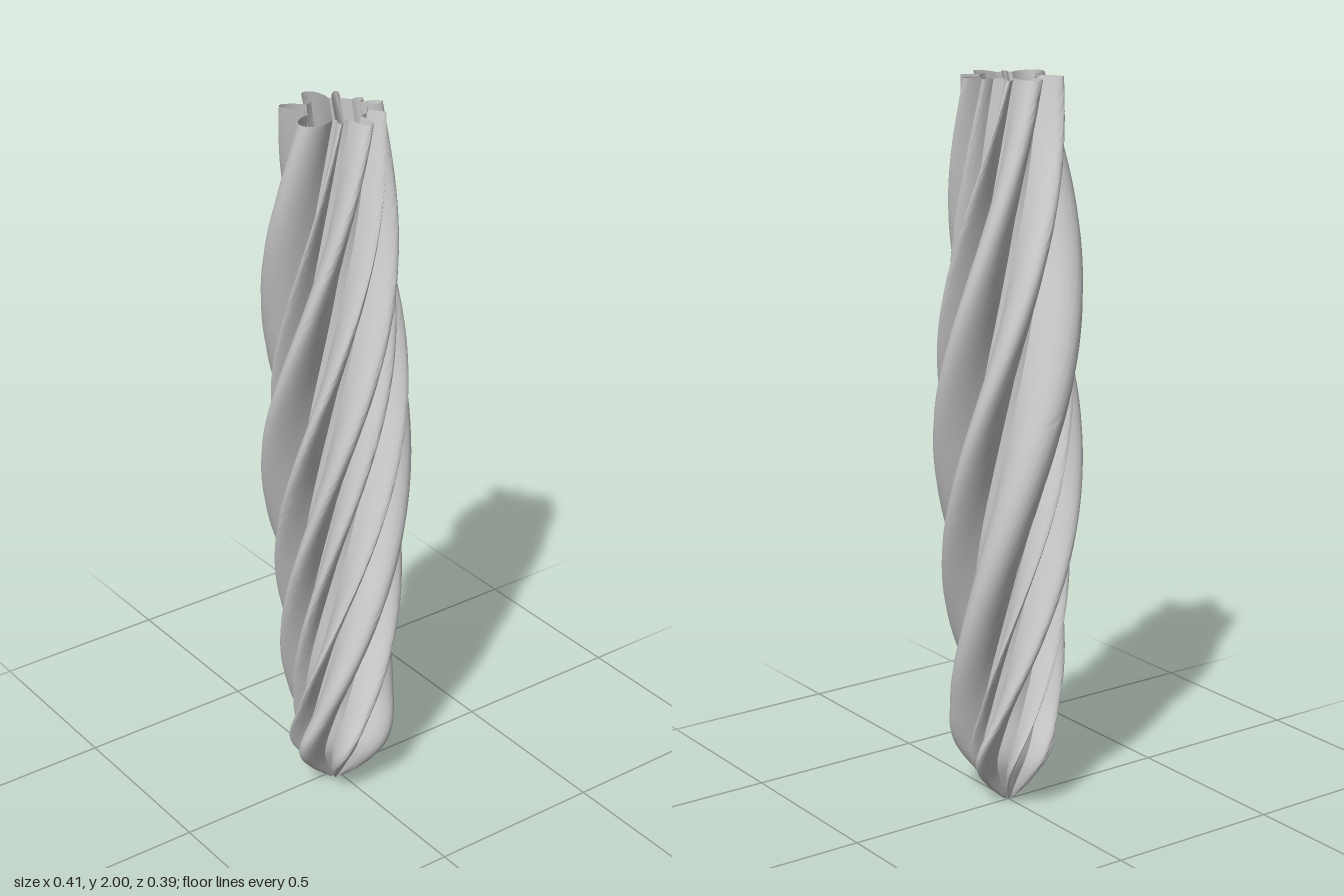
import * as THREE from 'three';
import { toCreasedNormals } from 'three/addons/utils/BufferGeometryUtils.js';

// Stations from tip to open top: height, ridge radius, groove radius, twist
const stations = [
  [0, 0.02, 0.01, -4.6],
  [0.06, 0.088, 0.045, -4.55],
  [0.14, 0.149, 0.082, -4.4],
  [0.3, 0.165, 0.088, -3.9],
  [0.5, 0.176, 0.093, -3.32],
  [0.85, 0.194, 0.1, -2.45],
  [1.2, 0.206, 0.102, -1.68],
  [1.6, 0.188, 0.092, -0.84],
  [2, 0.147, 0.079, 0],
];
// Ridges at the top: start and end angle from the front in degrees, relative reach
const ridges = [
  [-12, 14, 1], [36, 48, 0.7], [70, 92, 0.75], [97, 115, 0.4], [137, 152, 0.75],
  [157, 195, 1], [211, 238, 0.95], [265, 318, 1], [325, 337, 0.45],
];

const ROWS = 110, STEPS = 12, GROOVE_STEPS = 3;

function createModel() {
  const { smoothstep, lerp, degToRad } = THREE.MathUtils;
  const profile = new THREE.CubicInterpolant(
    stations.map(s => s[0]), stations.flatMap(s => s.slice(1)), 3, new Float32Array(3));
  const n = ridges.length, ring = n * (STEPS + GROOVE_STEPS);
  const positions = [], index = [];

  for (let i = 0; i <= ROWS; i++) {
    const y = 2 * Math.pow(i / ROWS, 1.2);
    const [outer, inner, twist] = profile.evaluate(y);
    // ridges even out and widen towards the middle, where the axis is centred
    const middle = smoothstep(y, 0.15, 1) * (1 - smoothstep(y, 1.3, 2));
    const axisX = -0.01 * (1 - middle), axisZ = 0.013 * (1 - middle);
    const addPoint = (degrees, r) => {
      const a = degToRad(degrees) + twist;
      positions.push(axisX + r * Math.sin(a), y, axisZ + r * Math.cos(a));
    };
    ridges.forEach(([start, end, reach], k) => {
      const before = k ? ridges[k - 1][1] : ridges[n - 1][1] - 360;
      const after = k < n - 1 ? ridges[k + 1][0] : ridges[0][0] + 360;
      const widen = 0.3 * middle;
      const a0 = lerp(start, before, widen), a1 = lerp(end, after, widen);
      const next = lerp(after, end, widen);
      const height = (outer - inner) * lerp(reach, 0.4 + 0.6 * reach, middle);
      for (let j = 0; j < STEPS; j++) {
        const t = j / STEPS;
        addPoint(lerp(a0, a1, t), inner + height * Math.pow(Math.sin(Math.PI * t), 0.8));
      }
      for (let j = 0; j < GROOVE_STEPS; j++) addPoint(lerp(a1, next, j / GROOVE_STEPS), inner);
    });
  }
  for (let i = 0; i < ROWS; i++) {
    for (let j = 0; j < ring; j++) {
      const a = i * ring + j, b = i * ring + (j + 1) % ring;
      index.push(a, b, b + ring, a, b + ring, a + ring);
    }
  }

  const geometry = new THREE.BufferGeometry();
  geometry.setAttribute('position', new THREE.Float32BufferAttribute(positions, 3));
  geometry.setIndex(index);
  const material = new THREE.MeshStandardMaterial({ color: 0xcccccc, side: THREE.DoubleSide });
  const shell = new THREE.Mesh(toCreasedNormals(geometry, 0.8), material);
  shell.name = 'twistedFlutedShell';

  const group = new THREE.Group();
  group.name = 'twistedColumn';
  group.add(shell);
  return group;
}

export { createModel };
